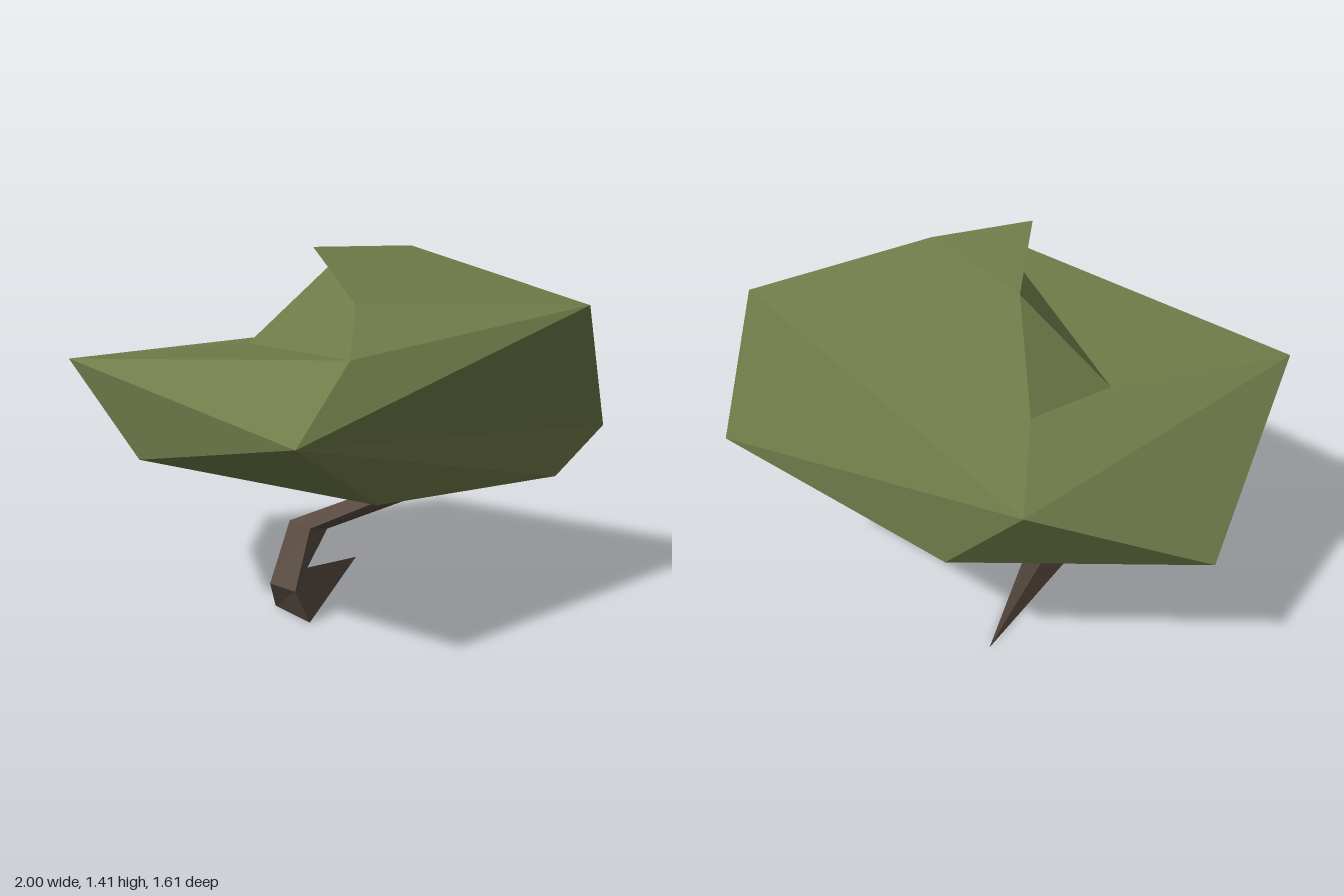
import * as THREE from 'three';

const foliage = new THREE.MeshStandardMaterial({ color: 0x707b49 });
foliage.name = 'olive foliage';
const bark = new THREE.MeshStandardMaterial({ color: 0x594b41 });
bark.name = 'brown bark';

// Faceted mesh: splitting the corners gives every face its own normal
function faceted(name, points, index, material) {
  const g = new THREE.BufferGeometry();
  g.setAttribute('position', new THREE.Float32BufferAttribute(points.flat(), 3));
  g.setIndex(index);
  const flat = g.toNonIndexed();
  flat.computeVertexNormals();
  const mesh = new THREE.Mesh(flat, material);
  mesh.name = name;
  return mesh;
}

// Leaning three-sided trunk, lofted through triangular rings
function buildTrunk() {
  const rings = [
    [[-0.25, 0, -0.04], [-0.11, 0, 0.11], [0.05, 0, -0.54]],             // flared root
    [[-0.26, 0.14, 0.07], [-0.16, 0.145, 0.155], [-0.15, 0.17, 0]],      // ankle
    [[-0.19, 0.36, -0.02], [-0.11, 0.35, 0.04], [-0.05, 0.32, -0.04]],   // bend
    [[0.24, 0.49, -0.13], [0.25, 0.48, -0.04], [0.35, 0.45, -0.12]],     // branch
    [[0.24, 0.58, -0.09], [0.28, 0.58, 0.05], [0.5, 0.56, -0.05]],       // tip inside the crown
  ];
  const index = [0, 2, 1];
  for (let r = 0; r < rings.length - 1; r++) {
    for (let i = 0; i < 3; i++) {
      const a = r * 3 + i, b = r * 3 + (i + 1) % 3;
      index.push(a, b, b + 3, a, b + 3, a + 3);
    }
  }
  const top = (rings.length - 1) * 3;
  index.push(top, top + 1, top + 2);
  return faceted('trunk', rings.flat(), index, bark);
}

// Irregular crown with a notch on its upper right side
function buildCrown() {
  const corners = {
    // outer rim
    A: [-1, 0.97, -0.06], F: [-0.11, 0.9, 0.8], E: [0.89, 1.19, -0.02],
    D: [0.995, 0.69, -0.21], C: [-0.07, 0.83, -0.81],
    // underside
    B: [-0.705, 0.545, -0.69], P: [-0.71, 0.66, 0.18], Q: [0.14, 0.6, 0.46],
    R: [0.8, 0.54, -0.04], N: [0.19, 0.525, -0.67],
    // upper ridge and peak
    G: [0.05, 1.12, 0.545], H: [0.06, 1.24, 0.24], I: [-0.09, 1.41, 0.09],
    J: [0.25, 1.4, -0.02], K: [-0.05, 1.29, -0.21], M: [-0.09, 0.99, -0.49],
    // floor of the notch
    L: [-0.36, 0.98, -0.29],
  };
  const faces = [
    'AFG AGL ALM AMC ACB LKM LGK KGH KHI',   // right side, notch and overhang
    'HGE GFE HEJ HJI IJK KJM JEM MEC EDC',   // peak and left slope
    'FDE FRD FQR DRN DNC CNB ABP APF PQF',   // flanks
    'QPB QBN QNR',                           // underside
  ].join(' ').split(' ');
  const names = Object.keys(corners);
  const index = faces.flatMap((f) => [...f].map((c) => names.indexOf(c)));
  return faceted('crown', Object.values(corners), index, foliage);
}

export function createModel() {
  const tree = new THREE.Group();
  tree.name = 'tree';
  tree.add(buildTrunk(), buildCrown());
  return tree;
}
